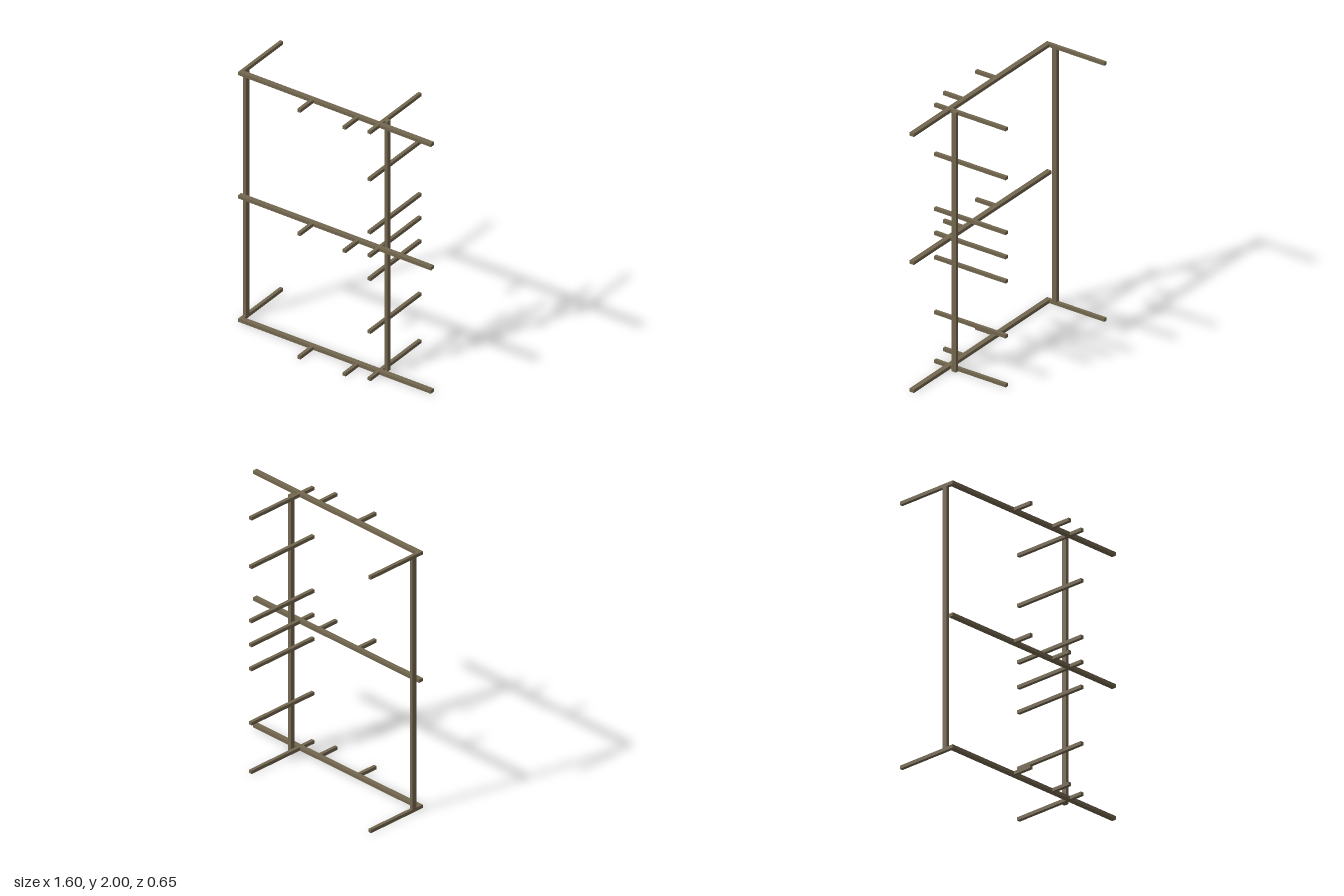
import * as THREE from 'three';

export function createModel() {
  const model = new THREE.Group();
  const wood = new THREE.MeshStandardMaterial({ color: 0x73674f });
  wood.name = 'weathered wood';

  const T = 0.025; // batten thickness
  const H = 2;     // overall height

  // Box given by its extents on each axis
  const beam = (name, [x0, x1], [y0, y1], [z0, z1]) => {
    const mesh = new THREE.Mesh(new THREE.BoxGeometry(x1 - x0, y1 - y0, z1 - z0), wood);
    mesh.position.set((x0 + x1) / 2, (y0 + y1) / 2, (z0 + z1) / 2);
    mesh.name = name;
    model.add(mesh);
  };
  const around = (y) => [y - T / 2, y + T / 2];

  const railHeights = [T / 2, H / 2, H - T / 2];
  const railZ = [0.135, 0.172];
  const postZ = [0.074, 0.111];

  // Long horizontal rails with two short pegs each at the front
  for (const y of railHeights) {
    beam('rail', [-0.8, 0.8], around(y), railZ);
    for (const x of [-0.188, 0.188]) {
      beam('frontPeg', [x - T / 2, x + T / 2], around(y), [railZ[1], 0.324]);
    }
  }

  // Upright posts behind the rails
  beam('rightPost', [-0.8, -0.8 + T], [T, H - T], postZ);
  beam('leftPost', [0.373, 0.398], [0, H], postZ);

  // Rear arms at the top and bottom of the right post
  for (const y of [railHeights[0], railHeights[2]]) {
    beam('rearArm', [-0.8, -0.8 + T], around(y), [-0.324, railZ[0]]);
  }

  // Cross bars fixed to the inner side of the left post
  for (const y of [...railHeights, 0.39, 0.813, 1.187, 1.61]) {
    beam('crossBar', [0.348, 0.373], around(y), [-0.324, 0.274]);
  }

  return model;
}
